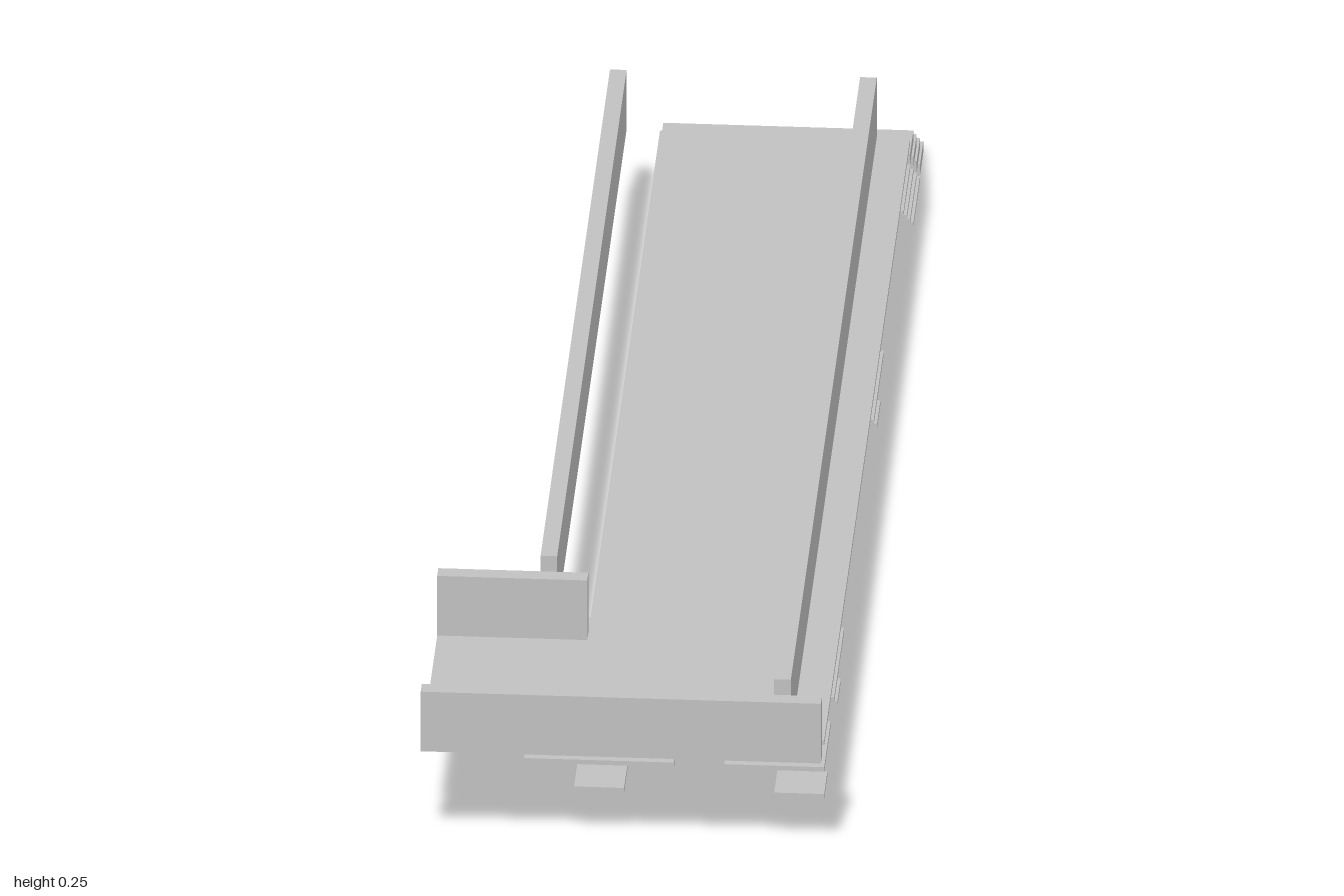
import * as THREE from 'three';

// Everything sits on a square grid: 8 cells wide (x), 31 cells long (z)
const U = 2 / 31;
const X = (i) => i * U;
const Z = (k) => -1 + k * U;
const PLATE = 0.0065; // thickness of deck and floor plates
const LEVEL = 0.039;  // height between levels
const DECK_Y = LEVEL * 4;

export function createModel() {
  const model = new THREE.Group();
  model.name = 'raisedWalkway';
  const grey = new THREE.MeshStandardMaterial({ color: 0xc0c0c0 });
  grey.name = 'lightGrey';

  // Box given by its limits on each axis
  function slab(name, x0, x1, y0, y1, z0, z1, parent = model) {
    const mesh = new THREE.Mesh(new THREE.BoxGeometry(x1 - x0, y1 - y0, z1 - z0), grey);
    mesh.position.set((x0 + x1) / 2, (y0 + y1) / 2, (z0 + z1) / 2);
    mesh.name = name;
    parent.add(mesh);
  }

  // Thin flat plate from an outline of [column, row] grid points
  function plate(name, outline, y, parent = model) {
    const shape = new THREE.Shape(outline.map(([i, k]) => new THREE.Vector2(X(i), -Z(k))));
    const geometry = new THREE.ExtrudeGeometry(shape, { depth: PLATE, bevelEnabled: false });
    geometry.rotateX(-Math.PI / 2);
    const mesh = new THREE.Mesh(geometry, grey);
    mesh.position.y = y;
    mesh.name = name;
    parent.add(mesh);
  }

  // L-shaped deck
  plate('deck', [[-1, 4], [4, 4], [4, 30], [-4, 30], [-4, 25], [-1, 25]], DECK_Y);

  // Railings
  const railBottom = DECK_Y + PLATE, railTop = 0.249, t = U / 3;
  slab('leftRailing', X(3), X(3) + t, railBottom, railTop, Z(4), Z(30));
  slab('rightRailing', X(-2), X(-2) + t, railBottom, railTop, Z(4), Z(25));
  slab('shortRailing', X(-4), X(-1), railBottom, railTop, Z(26) - t, Z(26));
  slab('frontRailing', X(-4), X(4), railBottom, railTop, Z(31) - t, Z(31));

  // Stairs: each step is a thick nosing with a thin plate reaching inward
  for (let i = 0; i < 4; i++) {
    const step = new THREE.Group();
    step.name = 'step' + (i + 1);
    const y = LEVEL * i;
    slab('stepNosing', X(-1), X(4), y + 0.0077, y + 0.0232, Z(i), Z(i + 1), step);
    slab('stepPlate', X(-1), X(4), y, y + PLATE, Z(i + 1), Z(i + 3), step);
    model.add(step);
  }

  // Supports: a cross-shaped plate over a single-cell plate, kept under the deck
  const underDeck = (i, k) => i < 4 && k < 30 && (i >= -1 || k >= 25);
  for (const i of [-1, 3]) {
    for (const k of [13, 25, 29]) {
      const support = new THREE.Group();
      support.name = 'support';
      const x0 = underDeck(i - 1, k) ? i - 1 : i, x1 = underDeck(i + 1, k) ? i + 2 : i + 1;
      const yMid = LEVEL * 3, yLow = LEVEL * 2;
      slab('crossBar', X(x0), X(x1), yMid, yMid + PLATE, Z(k), Z(k + 1), support);
      for (const arm of [k - 1, k + 1]) {
        if (underDeck(i, arm)) {
          slab('crossArm', X(i), X(i + 1), yMid, yMid + PLATE, Z(arm), Z(arm + 1), support);
        }
      }
      slab('lowerPlate', X(i), X(i + 1), yLow, yLow + PLATE, Z(k), Z(k + 1), support);
      model.add(support);
    }
  }

  return model;
}
